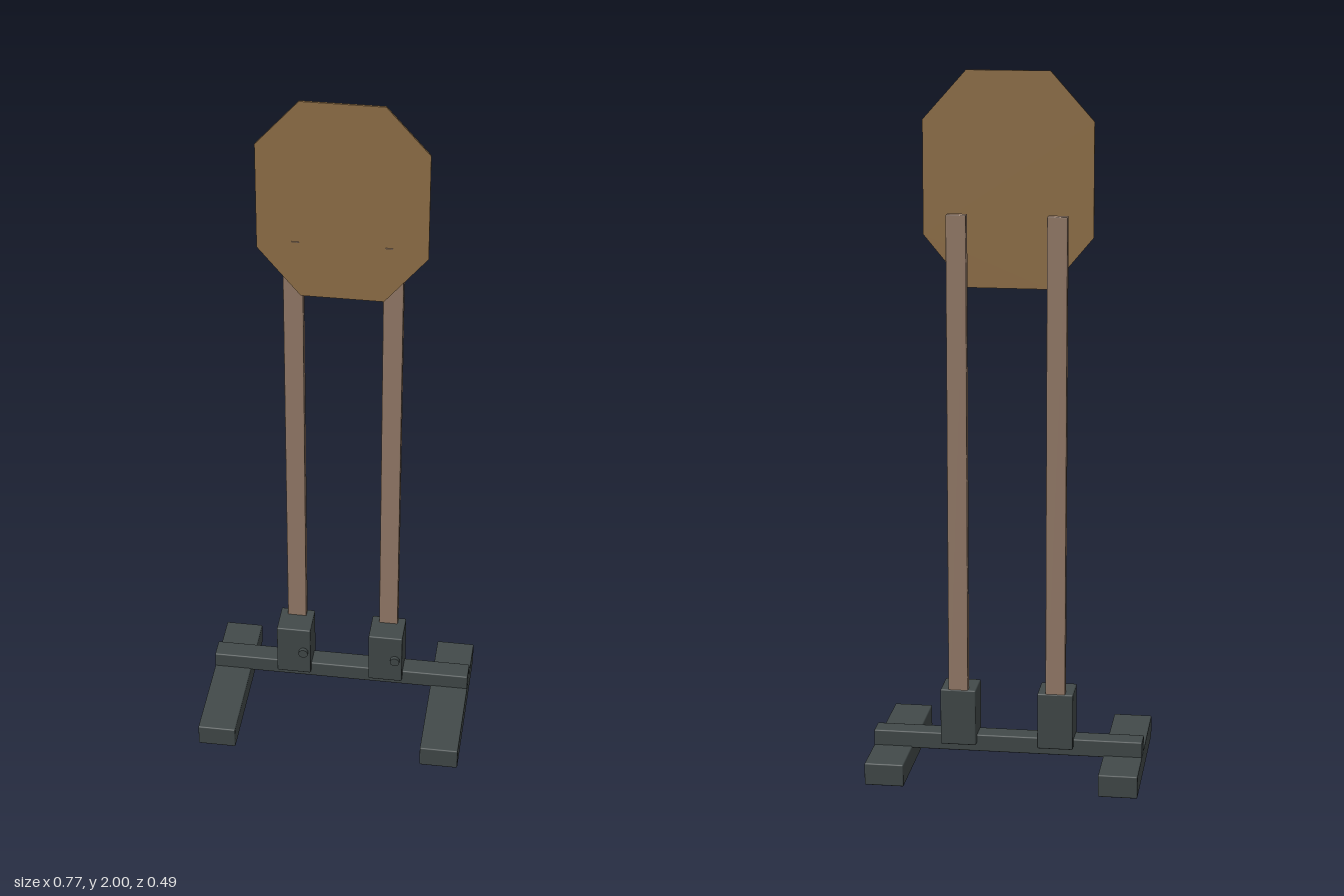
import * as THREE from 'three';
import { RoundedBoxGeometry } from 'three/addons/geometries/RoundedBoxGeometry.js';

export function createModel() {
  const group = new THREE.Group();
  const material = (name, color) => {
    const m = new THREE.MeshStandardMaterial({ color });
    m.name = name;
    return m;
  };
  const steel = material('dark steel', 0x424a4a);
  const wood = material('wood', 0x987e6b);
  const cardboard = material('cardboard', 0x94734a);

  const add = (name, geometry, mat, x = 0, y = 0, z = 0) => {
    const mesh = new THREE.Mesh(geometry, mat);
    mesh.name = name;
    mesh.position.set(x, y, z);
    group.add(mesh);
    return mesh;
  };
  // Box with softened edges, given by its limits on each axis
  const block = (name, mat, [x0, x1], [y0, y1], [z0, z1], r = 0.004) =>
    add(name, new RoundedBoxGeometry(x1 - x0, y1 - y0, z1 - z0, 2, r), mat,
      (x0 + x1) / 2, (y0 + y1) / 2, (z0 + z1) / 2);

  // Base: crossbar resting on two feet
  block('crossbar', steel, [-0.387, 0.387], [0.06, 0.11], [-0.099, -0.037]);
  block('rightFoot', steel, [-0.387, -0.276], [0, 0.065], [-0.247, 0.245]);
  block('leftFoot', steel, [0.275, 0.387], [0, 0.065], [-0.247, 0.245]);

  // Each side: socket, clamp bolt, upright and staple
  for (const [side, x] of [['right', -0.14], ['left', 0.138]]) {
    block(side + 'Socket', steel, [x - 0.051, x + 0.051], [0.085, 0.25], [-0.12, -0.019]);
    const bolt = add(side + 'Bolt', new THREE.CylinderGeometry(0.014, 0.014, 0.014, 16),
      steel, x + 0.03, 0.168, -0.014);
    bolt.rotation.x = Math.PI / 2;
    block(side + 'Upright', wood, [x - 0.028, x + 0.028], [0.2, 1.612], [-0.118, -0.09], 0.003);
    add(side + 'Staple', new THREE.BoxGeometry(0.02, 0.002, 0.004), wood,
      Math.sign(x) * 0.128, 1.575, -0.067);
  }

  // Eight-sided target board
  const outline = [
    [-0.115, 1.405], [0.115, 1.405], [0.235, 1.55], [0.235, 1.865],
    [0.115, 2], [-0.115, 2], [-0.235, 1.865], [-0.235, 1.55],
  ].map(([x, y]) => new THREE.Vector2(x, y));
  const board = new THREE.ExtrudeGeometry(new THREE.Shape(outline),
    { depth: 0.006, bevelEnabled: false });
  add('targetBoard', board, cardboard, 0, 0, -0.074);

  return group;
}
